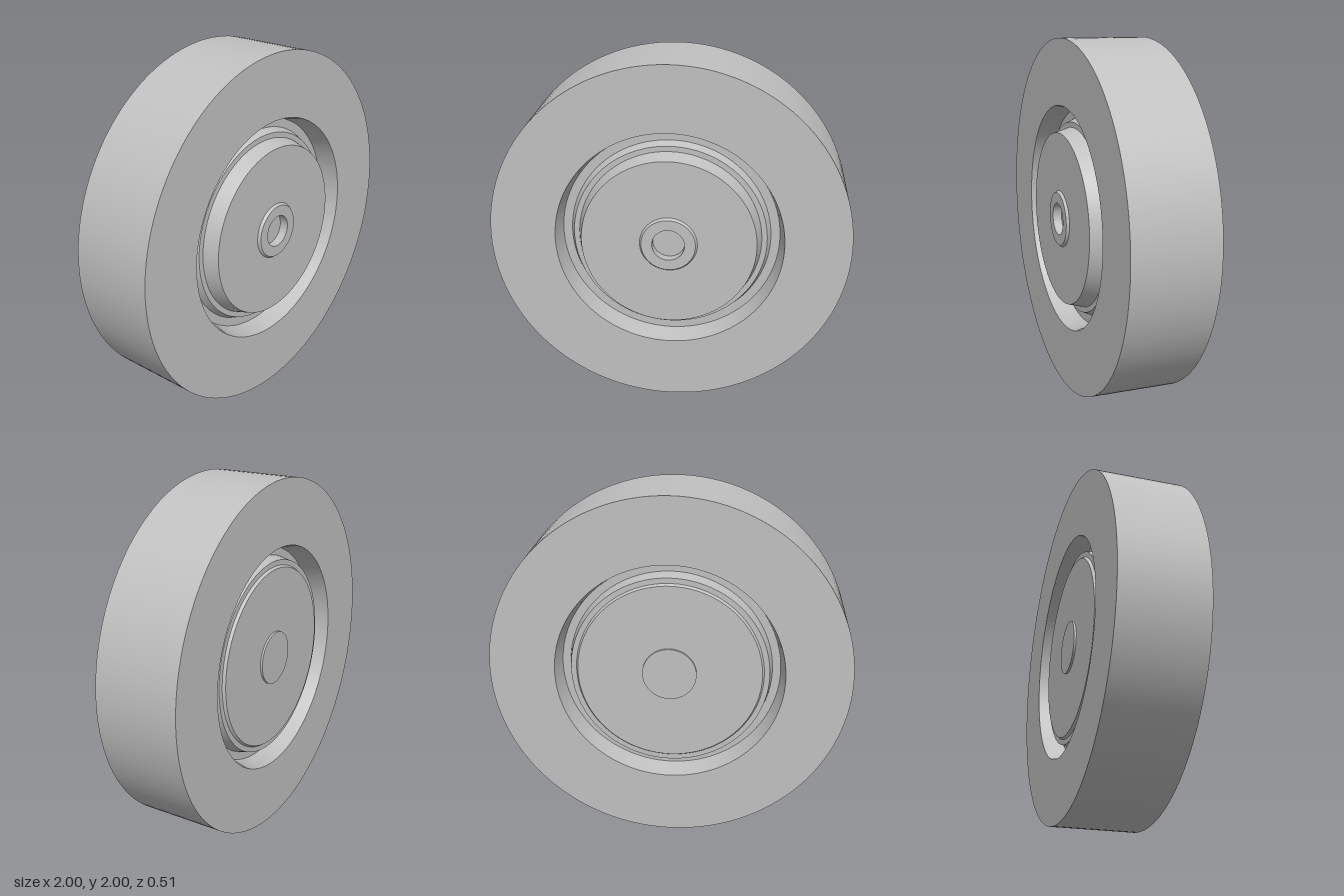
import * as THREE from 'three';
import { mergeGeometries } from 'three/addons/utils/BufferGeometryUtils.js';

const SEGMENTS = 128;

// Revolves [radius, z] points about the z axis, smooth around and sharp between bands.
function turned(name, profile, material) {
  const bands = [];
  for (let i = 0; i < profile.length - 1; i++) {
    const pair = [profile[i], profile[i + 1]].map(([r, z]) => new THREE.Vector2(r, z));
    bands.push(new THREE.LatheGeometry(pair, SEGMENTS));
  }
  const geometry = mergeGeometries(bands);
  geometry.rotateX(Math.PI / 2);
  const mesh = new THREE.Mesh(geometry, material);
  mesh.name = name;
  return mesh;
}

export function createModel() {
  const group = new THREE.Group();
  group.name = 'wheel';
  const grey = new THREE.MeshStandardMaterial({ color: 0xc0c0c0 });
  grey.name = 'light grey';

  const wheel = new THREE.Group();
  wheel.name = 'wheelParts';
  wheel.position.y = 1;
  group.add(wheel);

  // Wide flat tyre with tapered inner walls on both sides
  wheel.add(turned('tyre', [
    [0.61, -0.14], [0.635, -0.255], [1, -0.255],
    [1, 0.225], [0.635, 0.225], [0.61, 0.11],
  ], grey));

  // Recessed back disc, stepping down to the groove floor
  wheel.add(turned('backDisc', [
    [0.15, -0.225], [0.51, -0.225], [0.52, -0.21], [0.55, -0.21],
    [0.565, -0.14], [0.61, -0.14],
  ], grey));

  // Raised front disc with a sloping edge and a ledge above the groove floor
  wheel.add(turned('frontDisc', [
    [0.61, 0.11], [0.56, 0.11], [0.54, 0.155], [0.51, 0.155],
    [0.485, 0.24], [0.16, 0.24],
  ], grey));

  // Front hub with a blind axle hole
  wheel.add(turned('frontHub', [
    [0.16, 0.24], [0.15, 0.255], [0.09, 0.255], [0.09, 0.205], [0, 0.205],
  ], grey));

  // Low back hub cap
  wheel.add(turned('backHub', [[0, -0.237], [0.15, -0.237], [0.15, -0.225]], grey));

  return group;
}
